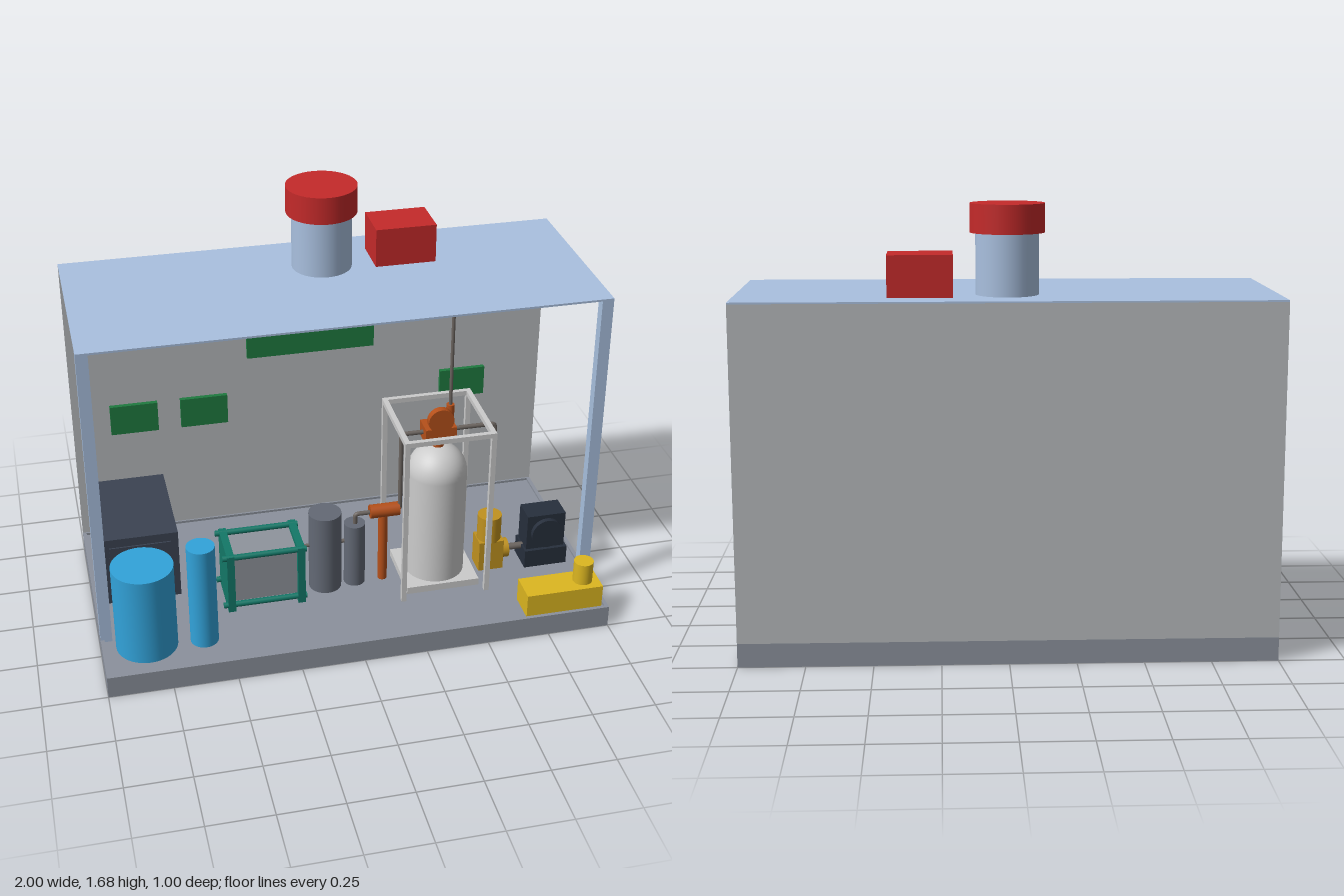
import * as THREE from 'three';

const material = (color) => new THREE.MeshStandardMaterial({ color });
const M = {
  base: material(0x8b919c), wall: material(0xb6b9bc), sky: material(0xa9c0df), red: material(0xc42a2a),
  green: material(0x1f7a40), blue: material(0x32a3da), orange: material(0xb5501a), yellow: material(0xdcb620),
  gold: material(0xc0921f), cabinet: material(0x3b4352), motor: material(0x272f3c), teal: material(0x137868),
  slate: material(0x636975), pipe: material(0x6b645f), pale: material(0xcccccc), plates: material(0x8f949c),
};

export function createModel() {
  const model = new THREE.Group();
  const add = (name, geometry, mat, x = 0, y = 0, z = 0) => {
    const mesh = new THREE.Mesh(geometry, mat);
    mesh.name = name;
    mesh.position.set(x, y, z);
    model.add(mesh);
    return mesh;
  };
  // Box given by its limits on each axis
  const box = (name, mat, [x0, x1], [y0, y1], [z0, z1]) =>
    add(name, new THREE.BoxGeometry(x1 - x0, y1 - y0, z1 - z0), mat, (x0 + x1) / 2, (y0 + y1) / 2, (z0 + z1) / 2);
  // Upright cylinder from y0 to y1
  const post = (name, mat, r, x, z, y0, y1) =>
    add(name, new THREE.CylinderGeometry(r, r, y1 - y0, 40), mat, x, (y0 + y1) / 2, z);
  // Horizontal cylinders along x and z
  const barX = (name, mat, r, x0, x1, y, z) => {
    const mesh = add(name, new THREE.CylinderGeometry(r, r, x1 - x0, 32), mat, (x0 + x1) / 2, y, z);
    mesh.rotation.z = Math.PI / 2;
  };
  const barZ = (name, mat, r, x, y, z0, z1) => {
    const mesh = add(name, new THREE.CylinderGeometry(r, r, z1 - z0, 32), mat, x, y, (z0 + z1) / 2);
    mesh.rotation.x = Math.PI / 2;
  };
  // Pipe run with tight bends at its corners
  const pipe = (name, r, points) => {
    const p = points.map((q) => new THREE.Vector3(...q));
    const path = new THREE.CurvePath();
    let from = p[0];
    for (let i = 1; i < p.length - 1; i++) {
      const a = p[i].clone().add(p[i - 1].clone().sub(p[i]).setLength(0.015));
      const b = p[i].clone().add(p[i + 1].clone().sub(p[i]).setLength(0.015));
      path.add(new THREE.LineCurve3(from, a));
      path.add(new THREE.QuadraticBezierCurve3(a, p[i], b));
      from = b;
    }
    path.add(new THREE.LineCurve3(from, p[p.length - 1]));
    add(name, new THREE.TubeGeometry(path, 80, r, 12), M.pipe);
  };

  // Skid base: rim, floor and cross beams, open below
  for (const s of [-1, 1]) {
    box('baseSideRail', M.base, s < 0 ? [-1, -0.985] : [0.985, 1], [0, 0.09], [-0.5, 0.5]);
    box('baseLongRail', M.base, [-0.985, 0.985], [0, 0.09], s < 0 ? [-0.5, -0.485] : [0.485, 0.5]);
    box('baseSideFlange', M.base, s < 0 ? [-0.985, -0.95] : [0.95, 0.985], [0, 0.065], [-0.485, 0.485]);
    box('baseLongFlange', M.base, [-0.95, 0.95], [0, 0.065], s < 0 ? [-0.485, -0.45] : [0.45, 0.485]);
    box('crossBeam', M.base, [s * 0.33 - 0.02, s * 0.33 + 0.02], [0, 0.065], [-0.45, 0.45]);
    box('cornerPost', M.sky, s < 0 ? [-1, -0.955] : [0.955, 1], [0.08, 1.34], [0.225, 0.265]);
  }
  box('floor', M.base, [-0.985, 0.985], [0.065, 0.08], [-0.485, 0.485]);

  // Shelter
  box('backWall', M.wall, [-1, 1], [0.09, 1.34], [-0.5, -0.493]);
  box('roof', M.sky, [-1, 1], [1.338, 1.346], [-0.5, 0.265]);
  post('ventStack', M.sky, 0.117, 0, -0.267, 1.345, 1.58);
  post('ventCap', M.red, 0.138, 0, -0.267, 1.573, 1.68);
  box('roofUnit', M.red, [0.2, 0.44], [1.345, 1.5], [-0.38, -0.2]);
  box('ceilingUnit', M.red, [-0.092, 0.09], [1.24, 1.339], [-0.133, -0.045]);

  // Wall panels
  box('mainPanel', M.green, [-0.27, 0.265], [0.855, 1.095], [-0.493, -0.474]);
  for (const x of [-0.748, -0.457, 0.657])
    box('smallPanel', M.green, [x - 0.098, x + 0.098], [0.565, 0.695], [-0.493, -0.474]);

  // Cabinet with door
  box('cabinet', M.cabinet, [-0.955, -0.65], [0.08, 0.382], [-0.42, 0.02]);
  box('cabinetDoor', M.cabinet, [-0.925, -0.68], [0.12, 0.345], [0.02, 0.026]);

  // Blue vessels
  post('largeBlueTank', M.blue, 0.12, -0.825, 0.31, 0.08, 0.45);
  post('slimBlueTank', M.blue, 0.055, -0.603, 0.33, 0.08, 0.518);

  // Plate stack held between end plates by tie rods
  box('plateStack', M.plates, [-0.455, -0.2], [0.118, 0.322], [-0.005, 0.165]);
  for (const x of [-0.468, -0.185])
    box('endPlate', M.teal, [x - 0.015, x + 0.015], [0.08, 0.342], [-0.025, 0.185]);
  for (const y of [0.107, 0.332])
    for (const z of [-0.008, 0.172]) barX('tieRod', M.teal, 0.012, -0.5, -0.163, y, z);
  barX('stackPort', M.teal, 0.013, -0.18, -0.155, 0.28, 0.08);
  barX('rearPort', M.teal, 0.011, -0.18, -0.155, 0.29, -0.045);
  barX('stackPipe', M.pipe, 0.007, -0.16, -0.1, 0.28, 0.08);

  // Grey vessels and orange feed unit
  post('largeGreyVessel', M.slate, 0.066, -0.068, 0.08, 0.08, 0.43);
  post('smallGreyVessel', M.slate, 0.043, 0.054, 0.08, 0.08, 0.362);
  barX('vesselPipe', M.pipe, 0.008, -0.03, 0.03, 0.28, 0.08);
  pipe('feedPipe', 0.009, [[0.055, 0.35, 0.085], [0.055, 0.405, 0.085], [0.125, 0.405, 0.085]]);
  barX('feedBody', M.orange, 0.028, 0.115, 0.235, 0.408, 0.086);
  post('feedLeg', M.orange, 0.019, 0.17, 0.086, 0.08, 0.4);

  // Domed pressure vessel on a pedestal
  box('pedestal', M.pale, [0.24, 0.54], [0.08, 0.11], [-0.055, 0.225]);
  const profile = [[0, 0.105], [0.12, 0.105], [0.12, 0.105], [0.12, 0.57]];
  for (let i = 1; i <= 12; i++) {
    const a = (i / 12) * Math.PI / 2;
    profile.push([0.12 * Math.cos(a), 0.57 + 0.12 * Math.sin(a)]);
  }
  add('pressureVessel', new THREE.LatheGeometry(profile.map((p) => new THREE.Vector2(Math.max(0, p[0]), p[1])), 48),
    M.pale, 0.388, 0, 0.09);

  // Cage around the vessel
  for (const x of [0.215, 0.56]) {
    for (const z of [-0.085, 0.26])
      box('cageLeg', M.pale, [x - 0.01, x + 0.01], [0.08, 0.82], [z - 0.01, z + 0.01]);
    box('cageSideBar', M.pale, [x - 0.01, x + 0.01], [0.8, 0.82], [-0.075, 0.25]);
  }
  for (const z of [-0.085, 0.26])
    box('cageCrossBar', M.pale, [0.225, 0.55], [0.8, 0.82], [z - 0.01, z + 0.01]);

  // Valve head
  post('valveNeck', M.orange, 0.023, 0.388, 0.09, 0.68, 0.73);
  box('valveBlock', M.orange, [0.325, 0.45], [0.72, 0.785], [0.045, 0.135]);
  barZ('valveWheel', M.orange, 0.051, 0.378, 0.835, 0.135, 0.164);
  box('valveWheelBracket', M.orange, [0.362, 0.394], [0.77, 0.83], [0.11, 0.14]);
  post('reliefStem', M.orange, 0.016, 0.433, 0.09, 0.78, 0.867);

  // Pipe runs
  pipe('ventPipe', 0.007, [[0.433, 0.86, 0.09], [0.433, 1.34, 0.09]]);
  pipe('inletPipe', 0.009, [[0.22, 0.408, 0.09], [0.238, 0.408, 0.09], [0.238, 0.755, 0.09], [0.33, 0.755, 0.09]]);
  pipe('outletPipe', 0.009, [[0.445, 0.755, 0.09], [0.62, 0.755, 0.09], [0.62, 0.32, 0.09]]);

  // Pump and its motor
  box('pumpFoot', M.gold, [0.568, 0.672], [0.08, 0.215], [0.045, 0.135]);
  post('pumpHead', M.gold, 0.049, 0.62, 0.09, 0.21, 0.325);
  barX('pumpFlange', M.gold, 0.04, 0.67, 0.7, 0.15, 0.09);
  barX('driveShaft', M.pipe, 0.014, 0.69, 0.78, 0.15, 0.09);
  box('motorBase', M.motor, [0.76, 0.94], [0.08, 0.16], [0.03, 0.155]);
  box('motorBody', M.motor, [0.768, 0.93], [0.16, 0.318], [0.04, 0.14]);
  barZ('motorCover', M.motor, 0.065, 0.85, 0.237, 0.135, 0.16);

  // Front dosing unit
  box('dosingBase', M.yellow, [0.662, 0.975], [0.08, 0.18], [0.355, 0.478]);
  post('dosingCylinder', M.yellow, 0.039, 0.91, 0.416, 0.17, 0.272);

  return model;
}
